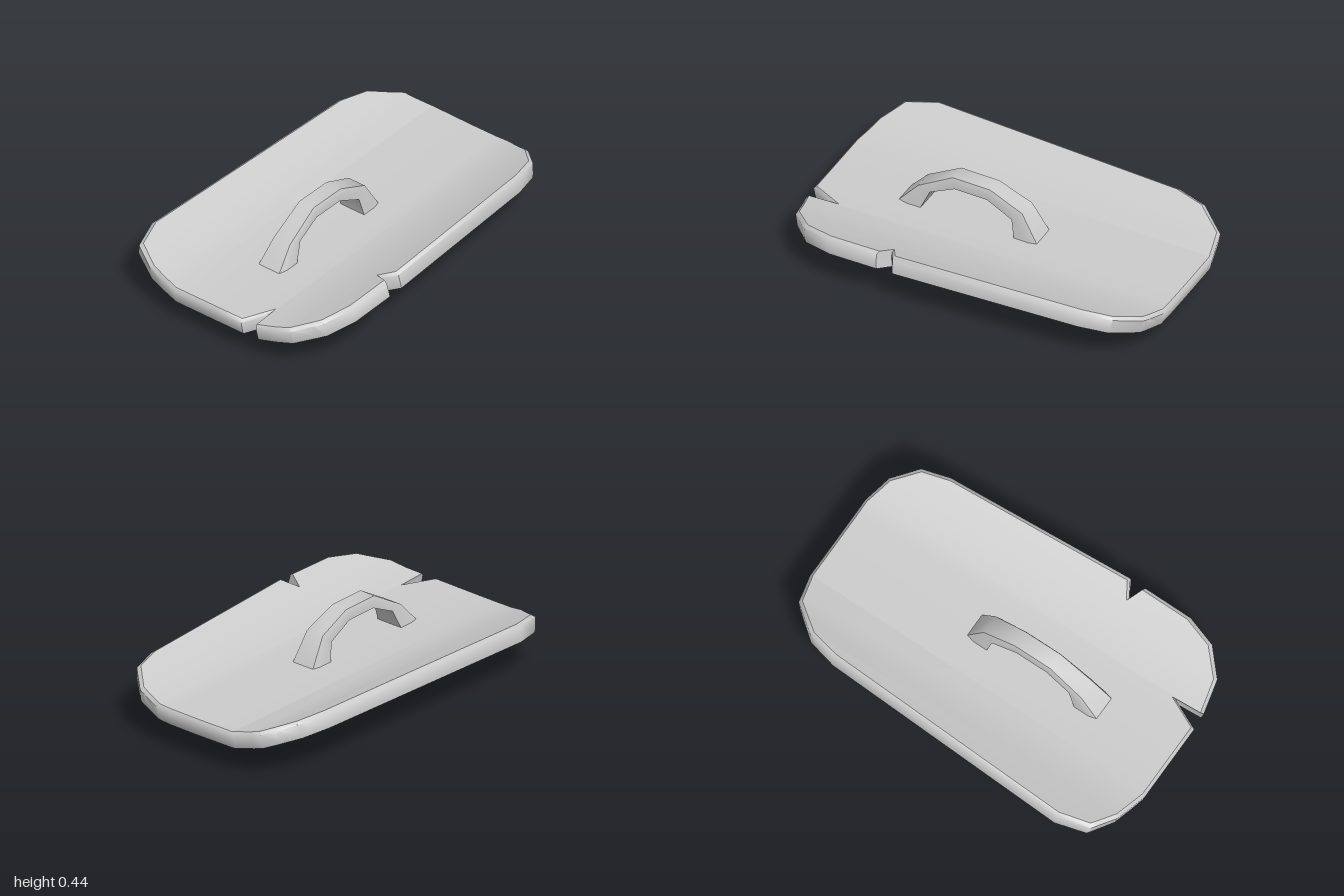
import * as THREE from 'three';
import { toCreasedNormals, mergeVertices } from 'three/addons/utils/BufferGeometryUtils.js';

const grey = new THREE.MeshStandardMaterial({ color: 0xcccccc, side: THREE.DoubleSide });

// Outline seen from above as [x, z], with two battle notches on the left and front edges
const OUTLINE = [
  [-0.24, -1], [0.24, -1], [0.39, -0.96], [0.51, -0.85], [0.55, -0.7],
  [0.615, 0.32], [0.53, 0.37], [0.615, 0.41], [0.615, 0.68], [0.565, 0.84], [0.44, 0.955],
  [0.26, 0.995], [0.25, 0.83], [0.17, 1],
  [-0.26, 1], [-0.44, 0.96], [-0.57, 0.89], [-0.62, 0.73],
  [-0.56, -0.65], [-0.52, -0.81], [-0.4, -0.96],
];
// Lines of constant x along which the plate bends
const CUTS = [-0.53, -0.45, -0.35, -0.25, 0, 0.17, 0.25, 0.35, 0.45, 0.53];
// Rim section from bottom to top: [x scale, z scale, height from mid plane]
const LEVELS = [[0.995, 0.98, -0.046], [1, 0.988, -0.03], [1, 1, 0.028], [0.975, 0.985, 0.045]];

// Place a plan point on the curved, slightly tapering plate
function bend(x, z, t) {
  const u = x / (0.588 + 0.0435 * z);
  const a = Math.max(0, Math.abs(u) - 0.35);
  return [x - Math.sign(x) * t * 0.35 * a, 0.173 - 0.009 * z + 0.195 * a ** 1.55 + t, z];
}

function geometryFrom(positions, index) {
  const g = new THREE.BufferGeometry();
  g.setAttribute('position', new THREE.Float32BufferAttribute(positions, 3));
  g.setIndex(index);
  return g;
}

// Add a point wherever an outline edge crosses a bend line
function splitOutline() {
  const points = [];
  OUTLINE.forEach((p, i) => {
    const q = OUTLINE[(i + 1) % OUTLINE.length];
    const crossings = CUTS.map((c) => (c - p[0]) / (q[0] - p[0]))
      .filter((s) => s > 1e-6 && s < 1 - 1e-6).sort((a, b) => a - b);
    points.push(new THREE.Vector2(...p));
    for (const s of crossings) {
      points.push(new THREE.Vector2(p[0] + (q[0] - p[0]) * s, p[1] + (q[1] - p[1]) * s));
    }
  });
  return points;
}

// Triangulate the outline strip by strip between the bend lines, facing up
function capIndex(points) {
  const index = [];
  const limits = [-1, ...CUTS, 1];
  for (let k = 0; k + 1 < limits.length; k++) {
    const ids = points.map((_, i) => i).filter(
      (i) => points[i].x >= limits[k] - 1e-6 && points[i].x <= limits[k + 1] + 1e-6);
    for (const f of THREE.ShapeUtils.triangulateShape(ids.map((i) => points[i].clone()), [])) {
      const [a, b, c] = f.map((j) => ids[j]);
      const area = THREE.ShapeUtils.area([points[a], points[b], points[c]]);
      if (Math.abs(area) < 1e-8) continue;
      index.push(...(area > 0 ? [a, c, b] : [a, b, c]));
    }
  }
  return index;
}

function makePlate() {
  const plate = new THREE.Group();
  plate.name = 'shieldPlate';
  const points = splitOutline();
  const n = points.length;
  const rings = LEVELS.map(([sx, sz, t]) => points.flatMap((p) => bend(p.x * sx, p.y * sz, t)));
  const up = capIndex(points);

  const add = (name, geometry) => {
    const mesh = new THREE.Mesh(geometry, grey);
    mesh.name = name;
    plate.add(mesh);
  };
  const inner = geometryFrom(rings[LEVELS.length - 1], up);
  inner.computeVertexNormals();
  add('innerFace', inner);
  const outer = geometryFrom(rings[0], up.slice().reverse());
  outer.computeVertexNormals();
  add('outerFace', outer);

  const wall = [];
  for (let l = 0; l + 1 < LEVELS.length; l++) {
    for (let i = 0; i < n; i++) {
      const p = l * n + i, q = l * n + (i + 1) % n;
      wall.push(p, p + n, q + n, p, q + n, q);
    }
  }
  add('rim', toCreasedNormals(geometryFrom(rings.flat(), wall), 1.0));
  return plate;
}

// Arched grip swept through stations: [outer z, outer y, inner z, inner y, half width]
function makeHandle() {
  const stations = [
    [0.59, 0.2, 0.46, 0.2, 0.078], [0.48, 0.325, 0.41, 0.315, 0.06],
    [0.29, 0.44, 0.275, 0.38, 0.053], [0.08, 0.44, 0.095, 0.38, 0.053],
    [-0.1, 0.365, -0.045, 0.315, 0.06], [-0.2, 0.2, -0.07, 0.2, 0.078],
  ];
  const section = [[1, 0], [1, 0.65], [0.85, 1], [-0.85, 1], [-1, 0.65], [-1, 0]];
  const n = section.length, positions = [], index = [];
  for (const [oz, oy, iz, iy, w] of stations) {
    for (const [sx, s] of section) {
      positions.push(0.003 + sx * w, iy + (oy - iy) * s, iz + (oz - iz) * s);
    }
  }
  for (let i = 0; i + 1 < stations.length; i++) {
    for (let k = 0; k < n; k++) {
      const a = i * n + k, b = i * n + (k + 1) % n;
      index.push(a, a + n, b + n, a, b + n, b);
    }
  }
  const mesh = new THREE.Mesh(toCreasedNormals(geometryFrom(positions, index), 1.0), grey);
  mesh.name = 'handle';
  return mesh;
}

// Shallow dome on the outer face
function makeBoss() {
  const profile = [[0, 0], [0.13, 0.02], [0.24, 0.07], [0.272, 0.12], [0.278, 0.145]];
  const geometry = new THREE.LatheGeometry(profile.map((p) => new THREE.Vector2(...p)), 12);
  const mesh = new THREE.Mesh(mergeVertices(geometry), grey);
  mesh.name = 'boss';
  mesh.position.set(0.003, 0, 0.265);
  return mesh;
}

export function createModel() {
  const model = new THREE.Group();
  model.name = 'shield';
  model.add(makePlate(), makeHandle(), makeBoss());
  return model;
}
